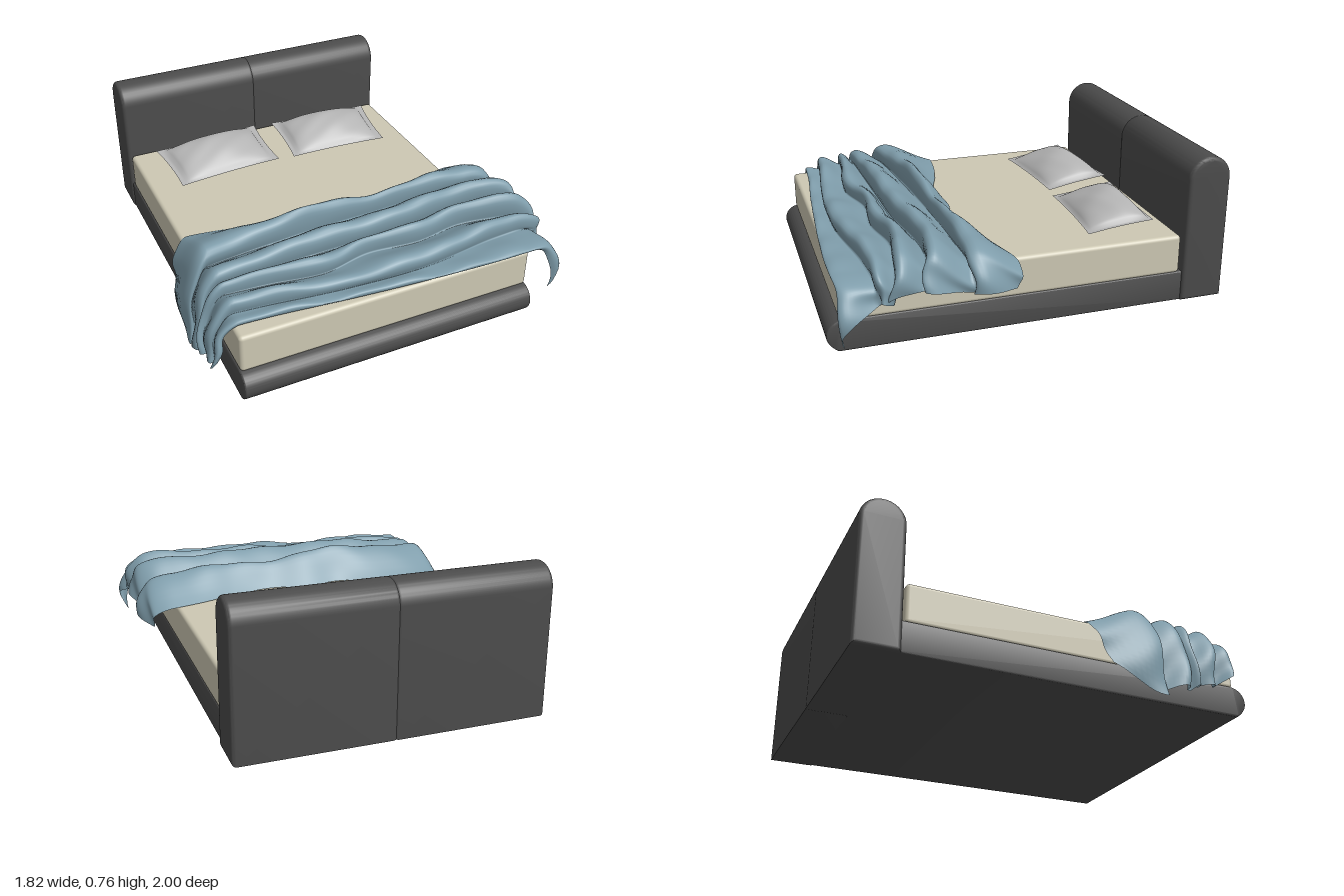
import * as THREE from 'three';
import { RoundedBoxGeometry } from 'three/addons/geometries/RoundedBoxGeometry.js';
import { toCreasedNormals } from 'three/addons/utils/BufferGeometryUtils.js';

const { lerp, clamp } = THREE.MathUtils;
const material = (color, side = THREE.FrontSide) => new THREE.MeshStandardMaterial({ color, side });

function part(name, geometry, mat) {
  const mesh = new THREE.Mesh(geometry, mat);
  mesh.name = name;
  return mesh;
}

// Smooth curve through evenly spaced values, t from 0 to 1
function through(values, t) {
  const n = values.length - 1;
  const s = clamp(t, 0, 1) * n;
  const i = Math.min(Math.floor(s), n - 1);
  const f = s - i;
  const at = k => values[clamp(k, 0, n)];
  const [a, b, c, d] = [at(i - 1), at(i), at(i + 1), at(i + 2)];
  return b + 0.5 * f * (c - a + f * (2 * a - 5 * b + 4 * c - d + f * (3 * (b - c) + d - a)));
}

// Grid surface from a rule (u, v) -> [x, y, z]
function sheet(nu, nv, rule, flip = false) {
  const pos = [], index = [];
  for (let j = 0; j <= nv; j++) {
    for (let i = 0; i <= nu; i++) {
      pos.push(...rule(i / nu, j / nv));
      if (i === nu || j === nv) continue;
      const a = j * (nu + 1) + i, b = a + 1, c = a + nu + 1, d = c + 1;
      index.push(...(flip ? [a, b, c, b, d, c] : [a, c, b, b, c, d]));
    }
  }
  const geo = new THREE.BufferGeometry();
  geo.setAttribute('position', new THREE.Float32BufferAttribute(pos, 3));
  geo.setIndex(index);
  geo.computeVertexNormals();
  return geo;
}

// Side profile (x = -z) extruded from x0 to x1 with rounded ends
function profileAcross(shape, x0, x1, bevel) {
  const geo = new THREE.ExtrudeGeometry(shape, {
    depth: x1 - x0 - 2 * bevel, curveSegments: 20,
    bevelSize: bevel, bevelThickness: bevel, bevelOffset: -bevel, bevelSegments: 4,
  });
  geo.rotateY(Math.PI / 2).translate(x0 + bevel, 0, 0);
  return toCreasedNormals(geo, 0.6);
}

// Pillow: two bulging sheets that meet in a flat rim; corners are [x, z]
function pillow(name, backL, backR, frontR, frontL) {
  const group = new THREE.Group();
  group.name = name;
  const mat = material(0xb4b4b4, THREE.DoubleSide);
  const side = sign => (u, v) => {
    const a = 2 * u - 1, b = 2 * v - 1;
    const pu = 0.5 + 0.5 * a * (1 - 0.035 * (1 - b * b));
    const pv = 0.5 + 0.5 * b * (1 - 0.05 * (1 - a * a));
    const mix = k => lerp(lerp(backL[k], backR[k], pu), lerp(frontL[k], frontR[k], pu), pv);
    const ia = Math.min(1, Math.abs(a) / 0.9), ib = Math.min(1, Math.abs(b) / 0.92);
    const puff = Math.pow((1 - ia * ia) * (1 - ib * ib), 0.6);
    const crease = 0.004 * puff * Math.sin(7 * a + 3 * b) * Math.sin(5 * b);
    const top = (0.08 - 0.022 * b) * puff + crease;
    const y = lerp(0.428, 0.382, pv) + (sign > 0 ? top : (0.018 * b - 0.032) * puff);
    return [mix(0), y, mix(1)];
  };
  group.add(part('pillowTop', sheet(40, 32, side(1)), mat));
  group.add(part('pillowUnderside', sheet(40, 32, side(-1), true), mat));
  return group;
}

// Blanket: five pleats running across the bed, hanging over both sides
function blanketGeometry() {
  // z of each fold line, from the model's right to its left
  const lines = [
    [0.22, 0.135, 0.14, 0.185, 0.245, 0.222, 0.25, 0.21, 0.14, 0.1, 0.14],
    [0.48, 0.42, 0.385, 0.36, 0.345, 0.34],
    [0.61, 0.59, 0.575, 0.56, 0.515, 0.57],
    [0.66, 0.67, 0.69, 0.72, 0.665, 0.685, 0.645, 0.68, 0.72],
    [0.77, 0.80, 0.845, 0.855, 0.80, 0.78],
    [0.86, 0.87, 0.91, 0.94, 0.955, 0.94],
  ];
  // crest height of each pleat, in the same direction
  const lift = [
    [0.05, 0.12, 0.165, 0.115, 0.125, 0.11],
    [0.05, 0.095, 0.115, 0.12, 0.14, 0.12],
    [0.05, 0.075, 0.085, 0.1, 0.115, 0.1],
    [0.05, 0.07, 0.055, 0.075, 0.085, 0.07],
    [0.02, 0.022, 0.018, 0.02, 0.025, 0.02],
  ];
  const low = [0.382, 0.405, 0.415, 0.41, 0.395, 0.384];
  const hemRight = [0.14, 0, 0.04, 0.06, 0.07, 0.08, 0.1, 0.1, 0.12, 0.15, 0.2];
  const hemLeft = [0.28, 0.29, 0.34, 0.28, 0.29, 0.11];
  // one pleat: gentle rise, rolled crest, tuck under
  const pleat = new THREE.SplineCurve([[0, 0], [0.25, 0.3], [0.6, 0.78], [0.88, 1], [1.06, 0.8], [1.07, 0.4], [1, 0]]
    .map(p => new THREE.Vector2(...p)));
  const bands = lift.length, x0 = -0.76, x1 = 0.71, hang = 0.2;

  return sheet(130, bands * 16, (u, v) => {
    const s = v * bands;
    const k = Math.min(Math.floor(s + 1e-6), bands - 1);
    const p = pleat.getPoint(clamp(s - k, 0, 1));
    const c = p.y;
    const w = lerp(-hang, 1 + hang, u);
    let x = lerp(x0, x1, clamp(w, 0, 1));
    let z = lerp(through(lines[k], u), through(lines[k + 1], u), p.x);
    let y = through(low, v) + through(lift[k], u) * c * (1 + 0.06 * Math.sin(5 * x + 2.1 * k));
    y += c * (0.006 * Math.sin(11 * x + 9 * z) + 0.004 * Math.sin(23 * x - 14 * z));
    // overhang beyond the mattress edges
    const d = Math.max(-w, w - 1, 0) / hang;
    if (d > 0) {
      const left = w > 1;
      const reach = left ? 0.15 + 0.045 * c : 0.1 + 0.035 * c;
      const out = reach * (1 - Math.pow(1 - d, 2.4)) + 0.012 * d * Math.sin(9 * d + 20 * z);
      x += left ? out : -out;
      y = lerp(y, through(left ? hemLeft : hemRight, v) + 0.02 * c, Math.pow(d, left ? 2 : 1.4));
      z += 0.015 * d * Math.sin(6 * d + 4 * k);
    }
    return [x, y, z];
  });
}

export function createModel() {
  const bed = new THREE.Group();
  bed.name = 'bed';
  const dark = material(0x4b4b4b);

  // Padded base with a rounded foot end
  const base = new THREE.Shape();
  base.moveTo(0.79, 0.022);
  base.lineTo(0.79, 0.178);
  base.lineTo(-0.92, 0.178);
  base.bezierCurveTo(-0.97, 0.175, -1, 0.14, -1, 0.1);
  base.bezierCurveTo(-1, 0.07, -0.975, 0.04, -0.945, 0.022);
  base.closePath();
  bed.add(part('base', profileAcross(base, -0.795, 0.725, 0.008), dark));

  // Headboard of two cushions with round tops, pressed together at a shallow seam
  const cushion = new THREE.Shape();
  cushion.moveTo(0.775, 0.022);
  cushion.lineTo(0.775, 0.66);
  cushion.absarc(0.886, 0.66, 0.111, Math.PI, 0, true);
  cushion.lineTo(0.997, 0.022);
  cushion.closePath();
  [['headboardRight', -0.805, -0.021], ['headboardLeft', -0.041, 0.743]].forEach(([name, a, b]) =>
    bed.add(part(name, profileAcross(cushion, a, b, 0.02), dark)));

  const mattress = part('mattress', new RoundedBoxGeometry(1.515, 0.2, 1.7, 4, 0.02), material(0xcdc8b3));
  mattress.position.set(-0.033, 0.272, 0.088);
  bed.add(mattress);

  bed.add(pillow('pillowRight', [-0.67, -0.655], [-0.065, -0.705], [-0.05, -0.365], [-0.63, -0.32]));
  bed.add(pillow('pillowLeft', [0.035, -0.685], [0.615, -0.66], [0.59, -0.325], [0.035, -0.35]));

  bed.add(part('blanket', blanketGeometry(), material(0x7f9dab, THREE.DoubleSide)));
  return bed;
}
